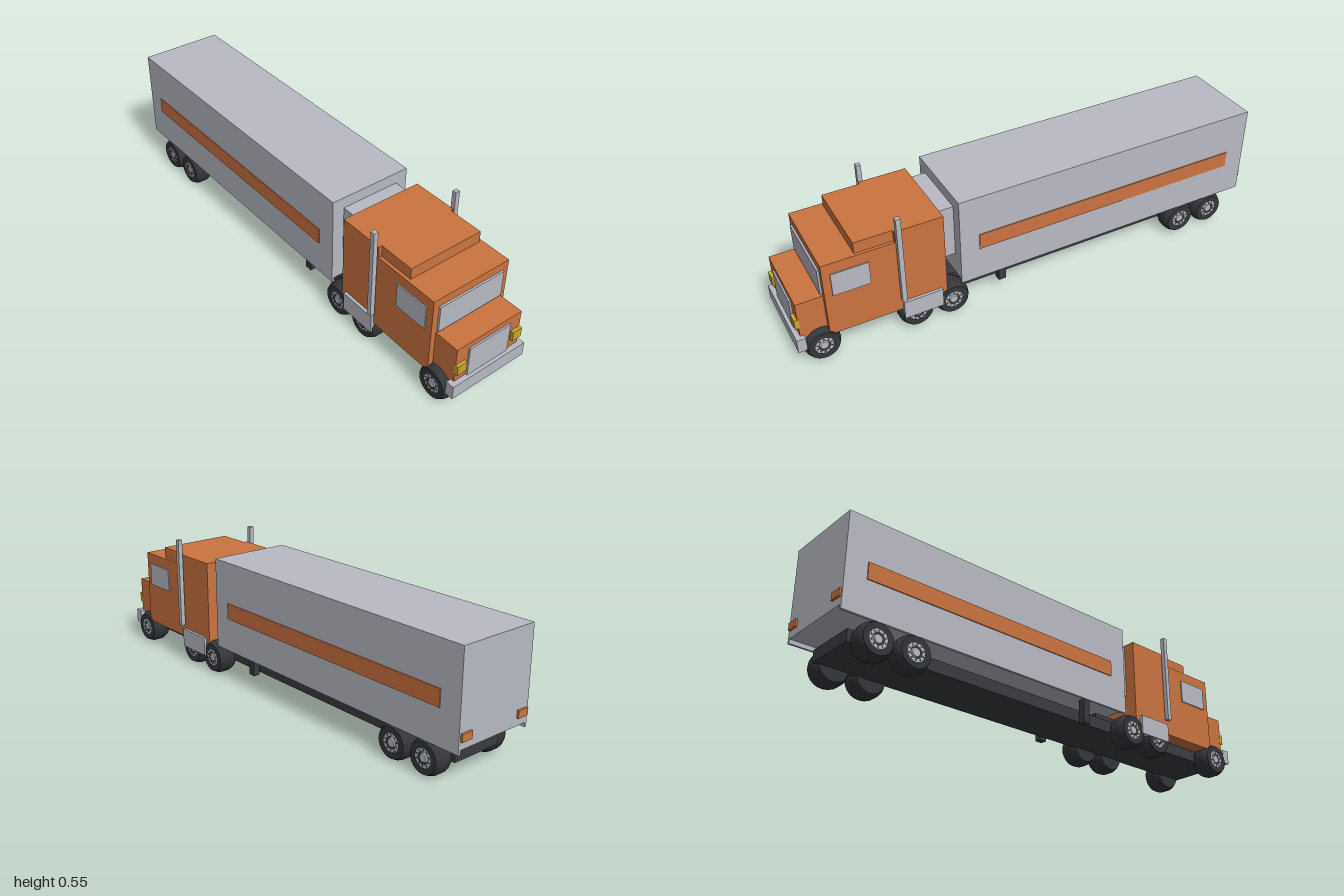
import * as THREE from 'three';

const mat = (name, color, extra = {}) => {
  const m = new THREE.MeshStandardMaterial({ color, ...extra });
  m.name = name;
  return m;
};

export function createModel() {
  const truck = new THREE.Group();
  truck.name = 'semiTruck';
  const orange = mat('orangePaint', 0xcb7440);
  const grey = mat('silverGrey', 0xb8bac3);
  const dark = mat('darkChassis', 0x3a3b40);
  const rubber = mat('tyreRubber', 0x35363a);
  const yellow = mat('headlightYellow', 0xc9a62d);

  // Box given by its min and max on each axis
  const box = (name, m, x0, x1, y0, y1, z0, z1) => {
    const mesh = new THREE.Mesh(new THREE.BoxGeometry(x1 - x0, y1 - y0, z1 - z0), m);
    mesh.position.set((x0 + x1) / 2, (y0 + y1) / 2, (z0 + z1) / 2);
    mesh.name = name;
    truck.add(mesh);
  };
  const centred = (name, m, w, ...r) => box(name, m, -w, w, ...r);
  const pair = (name, m, x0, x1, ...r) => {
    box(name + 'Left', m, x0, x1, ...r);
    box(name + 'Right', m, -x1, -x0, ...r);
  };

  // Cab
  centred('bumper', grey, 0.173, 0.072, 0.13, 0.965, 1.0);
  centred('hood', orange, 0.153, 0.108, 0.28, 0.87, 0.98);
  centred('grille', grey, 0.097, 0.13, 0.256, 0.979, 0.987);
  pair('headlight', yellow, 0.111, 0.154, 0.169, 0.21, 0.975, 0.993);
  centred('cab', orange, 0.175, 0.108, 0.431, 0.595, 0.875);
  centred('sleeper', orange, 0.175, 0.108, 0.478, 0.402, 0.595);
  centred('roofFairing', orange, 0.162, 0.43, 0.478, 0.594, 0.745);
  centred('windshield', grey, 0.149, 0.286, 0.397, 0.874, 0.883);
  pair('sideWindow', grey, 0.174, 0.18, 0.288, 0.386, 0.7, 0.845);
  pair('exhaustStack', grey, 0.181, 0.2, 0.165, 0.547, 0.575, 0.594);
  pair('fuelTank', grey, 0.165, 0.187, 0.067, 0.146, 0.425, 0.585);

  // Chassis
  centred('chassis', dark, 0.11, 0.06, 0.109, -0.925, 0.97);
  centred('couplingPlate', dark, 0.1, 0.108, 0.131, 0.24, 0.41);
  pair('landingLeg', dark, 0.115, 0.143, 0.05, 0.15, 0.133, 0.164);

  // Trailer
  centred('trailerBody', grey, 0.175, 0.15, 0.513, -0.992, 0.34);
  pair('trailerRail', grey, 0.165, 0.175, 0.133, 0.15, -0.992, 0.34);
  centred('refrigerationUnit', grey, 0.125, 0.245, 0.467, 0.34, 0.402);
  pair('sideStripe', orange, 0.174, 0.179, 0.274, 0.341, -0.905, 0.26);
  pair('tailLight', orange, 0.118, 0.168, 0.18, 0.21, -1.0, -0.991);

  // Wheels: bevelled tyre and a stepped rim, both turned about the axle
  const tyreGeo = new THREE.LatheGeometry([
    [0, -0.04], [0.06, -0.04], [0.068, -0.024], [0.07, -0.016],
    [0.07, 0.016], [0.068, 0.024], [0.06, 0.04], [0.036, 0.04], [0.034, 0.034], [0, 0.034],
  ].map(([r, h]) => new THREE.Vector2(r, h)), 24).toNonIndexed();
  tyreGeo.computeVertexNormals();
  const rimGeo = new THREE.RingGeometry(0.023, 0.036, 24);
  const hubGeo = new THREE.CylinderGeometry(0.016, 0.019, 0.006, 16);
  const boltGeo = new THREE.CylinderGeometry(0.0035, 0.0035, 0.002, 6);

  const addWheel = (side, z, i) => {
    const wheel = new THREE.Group();
    wheel.name = `wheel${side > 0 ? 'Left' : 'Right'}${i + 1}`;
    const part = (name, geo, m, x, y, zz) => {
      const mesh = new THREE.Mesh(geo, m);
      mesh.name = name;
      mesh.position.set(x, y, zz);
      wheel.add(mesh);
      return mesh;
    };
    part('tyre', tyreGeo, rubber, 0, 0, 0);
    part('rim', rimGeo, grey, 0, 0.0395, 0).rotation.x = -Math.PI / 2;
    part('hub', hubGeo, grey, 0, 0.037, 0);
    for (let k = 0; k < 10; k++) {
      const a = (k / 10) * Math.PI * 2;
      part('rimHole', boltGeo, dark, 0.0295 * Math.cos(a), 0.0395, 0.0295 * Math.sin(a));
    }
    wheel.rotation.z = -side * Math.PI / 2;
    wheel.position.set(side * 0.14, 0.07, z);
    truck.add(wheel);
  };
  [0.903, 0.528, 0.378, -0.694, -0.845].forEach((z, i) => {
    for (const side of [1, -1]) addWheel(side, z, i);
  });

  return truck;
}
